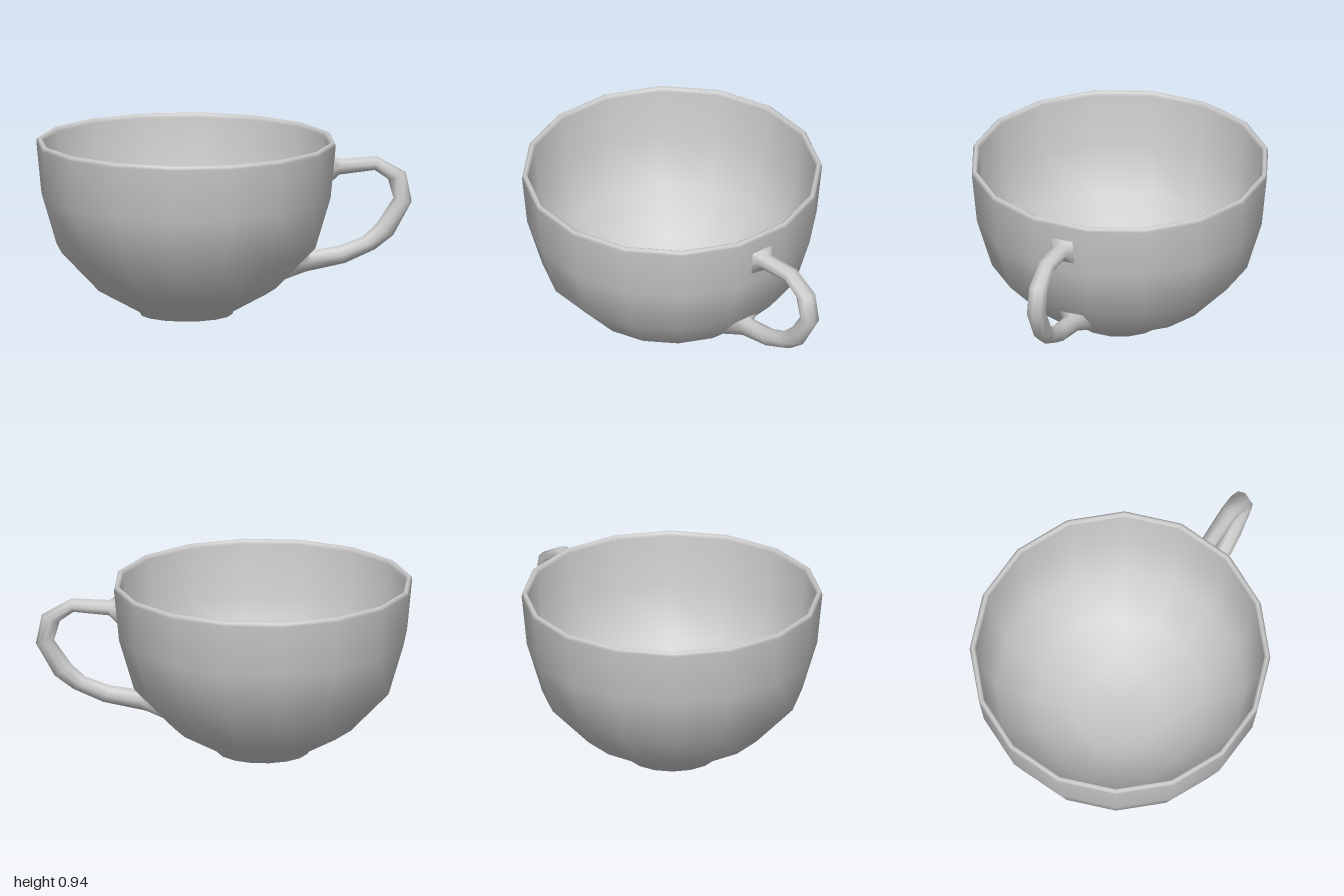
import * as THREE from 'three';

const SIDES = 16;
const CUP_X = -0.213;

// Profile distances are measured to the flat sides; the lathe needs corner radii.
const toCorner = 1 / Math.cos(Math.PI / SIDES);

function makeBowl(material) {
  const profile = [
    // underside and foot ring
    [0, 0.015], [0.215, 0.015], [0.225, 0], [0.243, 0], [0.25, 0.018],
    // outer wall
    [0.475, 0.145], [0.68, 0.365], [0.76, 0.64], [0.787, 0.92],
    // rounded rim
    [0.783, 0.937], [0.772, 0.944], [0.76, 0.937], [0.755, 0.92],
    // inner wall and floor
    [0.73, 0.645], [0.652, 0.38], [0.455, 0.17], [0.235, 0.045], [0, 0.045],
  ].map(([r, y]) => new THREE.Vector2(r * toCorner, y));
  const bowl = new THREE.Mesh(
    new THREE.LatheGeometry(profile, SIDES, Math.PI / SIDES), material);
  bowl.name = 'bowl';
  bowl.position.x = CUP_X;
  return bowl;
}

function makeHandle(material) {
  // Sections: outer x, y, inner x, y, centre z, half width, square corners
  const sections = [
    [0.56, 0.84, 0.55, 0.70, -0.005, 0.066, true],
    [0.61, 0.822, 0.61, 0.736, -0.005, 0.046],
    [0.81, 0.83, 0.80, 0.755, -0.016, 0.048],
    [0.968, 0.74, 0.872, 0.705, -0.024, 0.053],
    [1.0, 0.58, 0.902, 0.60, -0.025, 0.053],
    [0.90, 0.40, 0.81, 0.465, -0.018, 0.048],
    [0.80, 0.325, 0.735, 0.395, -0.012, 0.046],
    [0.64, 0.255, 0.60, 0.347, -0.009, 0.046],
    [0.43, 0.213, 0.455, 0.328, -0.006, 0.046],
    [0.285, 0.178, 0.425, 0.328, -0.004, 0.074, true],
  ];
  const N = 8;
  const positions = [], index = [];
  sections.forEach(([ox, oy, ix, iy, z, w, square], i) => {
    for (let k = 0; k < N; k++) {
      const a = (k / N) * Math.PI * 2;
      const s = square && k % 2 ? Math.SQRT2 : 1;
      const c = Math.cos(a) * s;
      positions.push(
        (ox + ix) / 2 + c * (ox - ix) / 2,
        (oy + iy) / 2 + c * (oy - iy) / 2,
        z + Math.sin(a) * s * w);
      if (i === 0) continue;
      const p = (i - 1) * N + k, q = (i - 1) * N + (k + 1) % N;
      index.push(p, q, q + N, p, q + N, p + N);
    }
  });
  const geometry = new THREE.BufferGeometry();
  geometry.setAttribute('position', new THREE.Float32BufferAttribute(positions, 3));
  geometry.setIndex(index);
  geometry.computeVertexNormals();
  const handle = new THREE.Mesh(geometry, material);
  handle.name = 'handle';
  return handle;
}

export function createModel() {
  const material = new THREE.MeshStandardMaterial({ color: 0xcccccc });
  const cup = new THREE.Group();
  cup.name = 'cup';
  cup.add(makeBowl(material), makeHandle(material));
  return cup;
}
